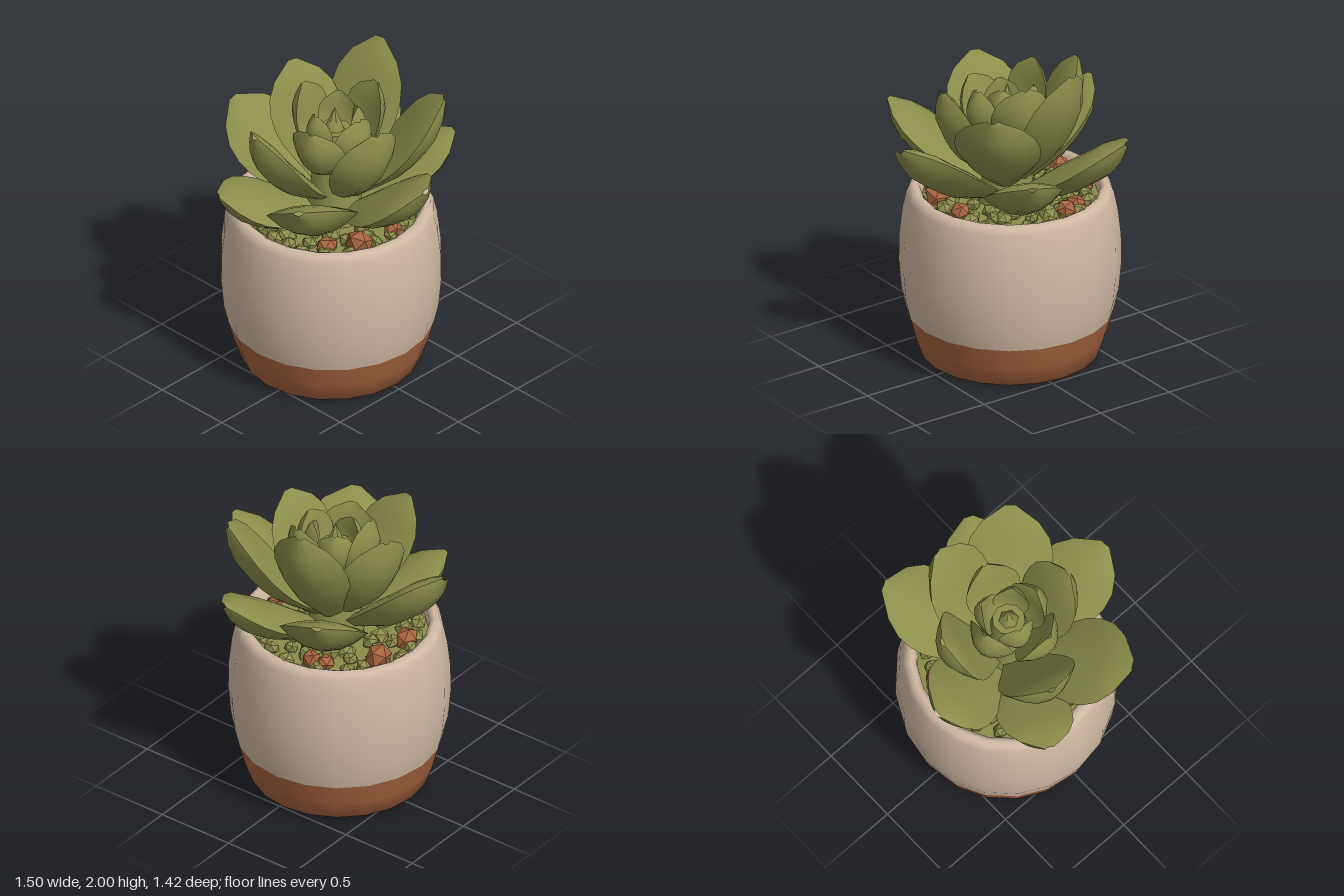
import * as THREE from 'three';

const mat = (name, color) => {
  const m = new THREE.MeshStandardMaterial({ color });
  m.name = name;
  return m;
};

// Width of a leaf (0..1) along its length
const WIDTHS = [0.3, 0.45, 0.66, 0.86, 0.98, 1, 0.92, 0.66, 0.12];

// Plump leaf from base to tip: an upper and a lower sheet meeting at a sharp rim
function leafGeometry(base, tip, { width, bow, cup, top, under, roll }) {
  const d = tip.clone().sub(base);
  const axis = d.clone().normalize();
  const side = new THREE.Vector3(0, 1, 0).cross(d).normalize().applyAxisAngle(axis, roll);
  const normal = axis.clone().cross(side);
  const rows = WIDTHS.length, cols = 9;
  const pos = [], idx = [];
  for (const face of [1, -1]) {
    const start = pos.length / 3;
    for (let i = 0; i < rows; i++) {
      const t = i / (rows - 1), w = WIDTHS[i] * width / 2;
      for (let j = 0; j < cols; j++) {
        const u = -Math.cos(Math.PI * j / (cols - 1));
        const belly = (face > 0 ? top : -under) * (1 - u * u) * Math.min(1, WIDTHS[i] * 1.1);
        const h = -bow * Math.sin(Math.PI * t) + cup * u * u * w + belly;
        const p = base.clone().addScaledVector(d, t).addScaledVector(side, u * w).addScaledVector(normal, h);
        pos.push(p.x, p.y, p.z);
      }
    }
    for (let i = 0; i < rows - 1; i++) {
      for (let j = 0; j < cols - 1; j++) {
        const a = start + i * cols + j, b = a + cols, c = a + 1, e = b + 1;
        if (face > 0) idx.push(a, b, c, c, b, e);
        else idx.push(a, c, b, c, e, b);
      }
    }
  }
  const g = new THREE.BufferGeometry();
  g.setAttribute('position', new THREE.Float32BufferAttribute(pos, 3));
  g.setIndex(idx);
  g.computeVertexNormals();
  return g;
}

export function createModel() {
  const model = new THREE.Group();
  model.name = 'pottedSucculent';
  const cream = mat('creamGlaze', 0xd2baa4);
  const clay = mat('terracotta', 0xa8643f);
  const green = mat('leafGreen', 0x8c8e4b);
  const CX = -0.055, CZ = 0.015;

  const add = (parent, name, geo, material, x = 0, y = 0, z = 0) => {
    const m = new THREE.Mesh(geo, material);
    m.name = name;
    m.position.set(x, y, z);
    parent.add(m);
    return m;
  };
  const lathe = (pts) => new THREE.LatheGeometry(pts.map(([r, y]) => new THREE.Vector2(r, y)), 20);

  // Pot: bare clay foot, glazed body with rolled lip and inner wall
  const pot = new THREE.Group();
  pot.name = 'pot';
  model.add(pot);
  add(pot, 'potFoot', lathe([[0, 0.015], [0.3, 0.005], [0.47, 0.005], [0.54, 0.035], [0.585, 0.16], [0.622, 0.3]]), clay, CX, 0, CZ);
  add(pot, 'potBody', lathe([[0.622, 0.3], [0.65, 0.42], [0.666, 0.6], [0.664, 0.78], [0.645, 0.95],
    [0.622, 1.06], [0.603, 1.1], [0.57, 1.112], [0.54, 1.095], [0.53, 1.0]]), cream, CX, 0, CZ);

  // Pebble bed
  const bed = new THREE.Group();
  bed.name = 'pebbleBed';
  model.add(bed);
  add(bed, 'bedBase', new THREE.CylinderGeometry(0.54, 0.54, 0.04, 20), green, CX, 1.01, CZ);
  let seed = 7;
  const rand = () => (seed = (seed * 16807) % 2147483647) / 2147483647;
  const pebble = new THREE.IcosahedronGeometry(1, 0);
  const placePebble = (material, r, a, size, y) => {
    const p = add(bed, 'pebble', pebble, material, CX + r * Math.cos(a), y, CZ + r * Math.sin(a));
    p.scale.set(size, size * 0.75, size * 0.9);
    p.rotation.set(rand() * 3, rand() * 6, rand() * 3);
  };
  [[0.47, 24], [0.37, 18], [0.27, 12]].forEach(([r, n]) => {
    for (let k = 0; k < n; k++) {
      placePebble(green, r + (rand() - 0.5) * 0.05, (k + rand() * 0.6) / n * Math.PI * 2, 0.05 + rand() * 0.02, 1.045);
    }
  });
  [[0.4, 0.1], [0.85, 0.07], [-0.2, 0.07], [2.9, 0.08], [3.5, 0.1], [4.25, 0.07], [4.45, 0.07]].forEach(([a, size]) => {
    placePebble(clay, 0.44, a, size, 1.08);
  });

  // Rosette, from the outer ring to the heart
  const rosette = new THREE.Group();
  rosette.name = 'rosette';
  model.add(rosette);
  const RX = -0.03, RZ = 0.01;
  add(rosette, 'stem', new THREE.CylinderGeometry(0.1, 0.18, 0.62, 10), green, RX, 1.33, RZ);
  const rings = {
    outer: { bow: 0.035, cup: 0.1, top: 0.075, under: 0.105 },
    middle: { bow: 0.05, cup: 0.18, top: 0.065, under: 0.1 },
    inner: { bow: 0.06, cup: 0.4, top: 0.045, under: 0.06 },
    heart: { bow: 0.04, cup: 0.5, top: 0.025, under: 0.04 },
  };
  // [ring, position, tip x, y, z, width, base height, roll]
  const leaves = [
    ['outer', 'Left', 0.745, 1.55, 0.02, 0.5, 1.08, 0.25],
    ['outer', 'FrontLeft', 0.35, 1.53, 0.7, 0.54, 1.08, 0.2],
    ['outer', 'FrontRight', -0.33, 1.34, 0.7, 0.46, 1.08, -0.18],
    ['outer', 'Right', -0.74, 1.6, 0.16, 0.5, 1.1, -0.35],
    ['outer', 'BackRight', -0.42, 1.55, -0.68, 0.53, 1.08, 0],
    ['outer', 'BackLeft', 0.28, 1.44, -0.69, 0.48, 1.08, 0],
    ['middle', 'Back', -0.15, 2.0, -0.5, 0.48, 1.17, 0],
    ['middle', 'BackLeft', 0.42, 1.84, -0.47, 0.52, 1.16, 0],
    ['middle', 'Left', 0.39, 1.82, 0.08, 0.46, 1.2, 0],
    ['middle', 'Front', -0.17, 1.76, 0.55, 0.48, 1.18, 0],
    ['middle', 'Right', -0.48, 1.88, -0.08, 0.46, 1.2, -0.15],
    ['inner', 'Back', 0.04, 1.87, -0.28, 0.36, 1.36, 0],
    ['inner', 'Front', 0.05, 1.76, 0.29, 0.36, 1.36, 0],
    ['inner', 'Right', -0.26, 1.88, 0.05, 0.32, 1.38, 0],
    ['inner', 'Left', 0.18, 1.79, 0.02, 0.3, 1.4, 0],
    ['heart', 'Back', -0.13, 1.8, -0.13, 0.24, 1.45, 0],
    ['heart', 'Left', 0.08, 1.8, -0.08, 0.22, 1.45, 0],
    ['heart', 'Front', -0.06, 1.77, 0.14, 0.24, 1.45, 0],
  ];
  for (const [ring, place, x, y, z, width, baseY, roll] of leaves) {
    const tip = new THREE.Vector3(x, y, z);
    const out = new THREE.Vector3(x - RX, 0, z - RZ).normalize();
    const base = new THREE.Vector3(RX, baseY, RZ).addScaledVector(out, 0.07);
    add(rosette, `${ring}Leaf${place}`, leafGeometry(base, tip, { ...rings[ring], width, roll }), green);
  }

  // Closed bud in the middle
  add(rosette, 'bud', new THREE.ConeGeometry(0.09, 0.22, 6), green, RX, 1.68, RZ);
  return model;
}
